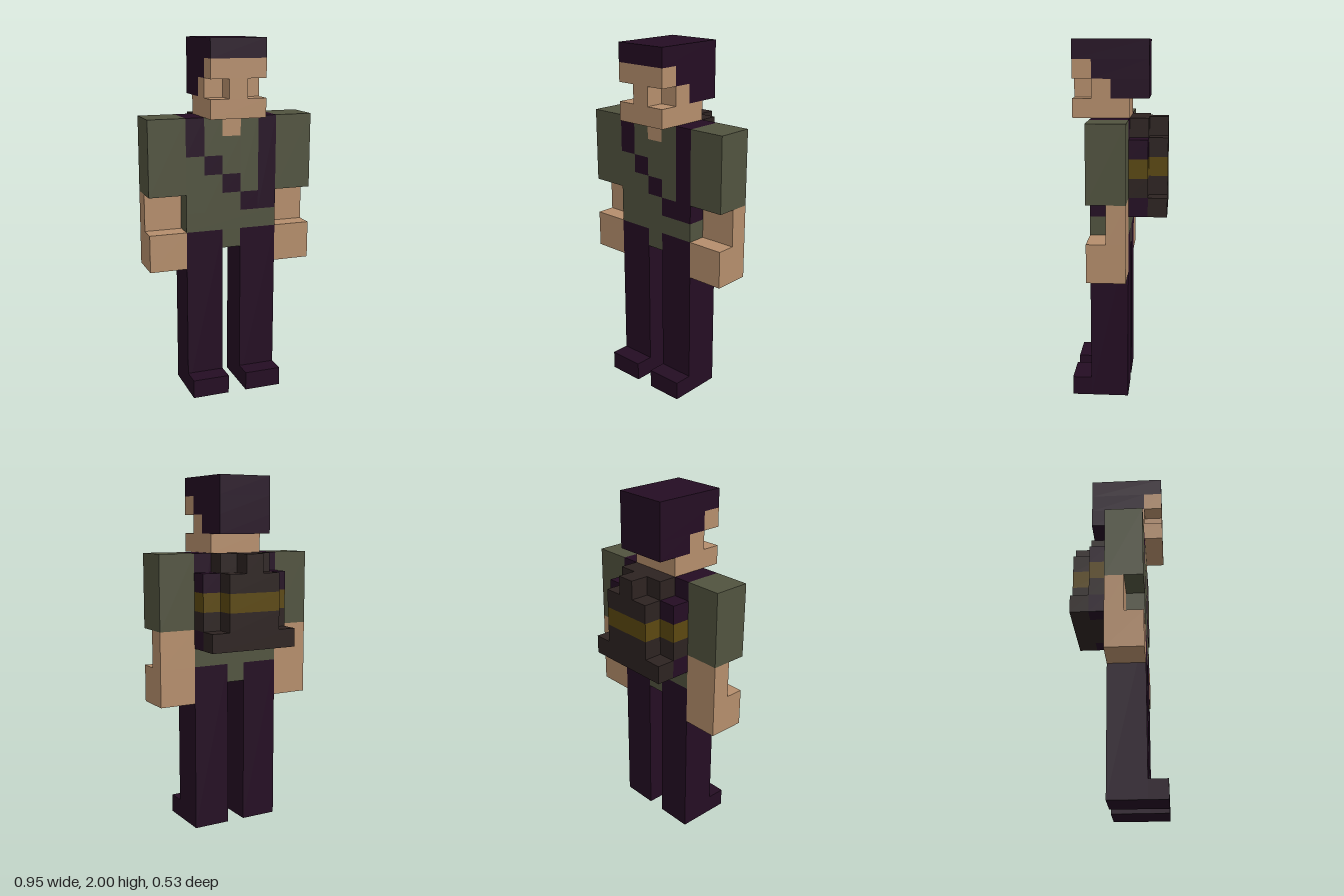
import * as THREE from 'three';

const U = 2 / 19; // one block

const mat = (name, color) => {
  const m = new THREE.MeshStandardMaterial({ color });
  m.name = name;
  return m;
};

export function createModel() {
  const plum = mat('darkPlum', 0x240d23);
  const skin = mat('skin', 0xb58e6c);
  const olive = mat('oliveCloth', 0x51533f);
  const brown = mat('darkLeather', 0x2d2321);
  const ochre = mat('ochreBand', 0x5b4810);

  const model = new THREE.Group();
  model.name = 'figure';
  const part = (name) => {
    const g = new THREE.Group();
    g.name = name;
    model.add(g);
    return g;
  };
  // Box given by its x, y and z limits in blocks
  const box = (group, name, material, [x0, x1], [y0, y1], [z0, z1]) => {
    const geo = new THREE.BoxGeometry((x1 - x0) * U, (y1 - y0) * U, (z1 - z0) * U);
    const mesh = new THREE.Mesh(geo, material);
    mesh.position.set((x0 + x1) / 2 * U, (y0 + y1) / 2 * U, (z0 + z1) / 2 * U);
    mesh.name = name;
    group.add(mesh);
  };
  const side = (s, a, b) => (s > 0 ? [a, b] : [-b, -a]);
  const full = [-0.5, 1.5], front = [0.5, 1.5], back = [-0.5, 0.5];

  // Limbs, mirrored
  for (const s of [1, -1]) {
    const label = s > 0 ? 'left' : 'right';
    const leg = part(label + 'Leg');
    box(leg, 'trouserLeg', plum, side(s, 0.5, 2.5), [0, 9], full);
    box(leg, 'toe', plum, side(s, 0.5, 2.5), [0, 1], [1.5, 2.5]);
    const arm = part(label + 'Arm');
    box(arm, 'sleeve', olive, side(s, 2.5, 4.5), [11, 15], full);
    box(arm, 'forearm', skin, side(s, 2.5, 4.5), [9, 11], back);
    box(arm, 'hand', skin, side(s, 2.5, 4.5), [7, 9], full);
  }

  // Torso: back layer, then front layer column by column
  const torso = part('torso');
  box(torso, 'crotch', olive, [-0.5, 0.5], [8, 9], full);
  box(torso, 'shirtHem', olive, [-2.5, 2.5], [9, 10], full);
  box(torso, 'shirtBack', olive, [-2.5, 1.5], [10, 14], back);
  box(torso, 'shirtBackTop', olive, [-1.5, 1.5], [14, 15], back);
  box(torso, 'rightShoulderStrap', plum, [-2.5, -1.5], [14, 15], back);
  box(torso, 'leftStrapBack', plum, [1.5, 2.5], [10, 15], back);
  box(torso, 'leftStrap', plum, [1.5, 2.5], [10, 15], front);
  // each column: left edge, then strap bottom and top
  const columns = [[-2.5, 13, 15], [-1.5, 12, 13], [-0.5, 11, 12], [0.5, 10, 11]];
  for (const [x, low, high] of columns) {
    const xs = [x, x + 1];
    const neck = x === -0.5;
    const top = neck ? 14 : 15;
    box(torso, 'diagonalStrap', plum, xs, [low, high], front);
    if (low > 10) box(torso, 'shirtLower', olive, xs, [10, low], front);
    if (high < top) box(torso, 'shirtUpper', olive, xs, [high, top], front);
    if (neck) box(torso, 'openCollar', skin, xs, [14, 15], front);
  }

  // Head with recessed eyes
  const head = part('head');
  const w = [-1.5, 1.5];
  box(head, 'jaw', skin, w, [15, 16], [-0.5, 2.5]);
  box(head, 'cheeks', skin, w, [16, 17], [0.5, 1.5]);
  box(head, 'nose', skin, [-0.5, 0.5], [16, 17], [1.5, 2.5]);
  box(head, 'brow', skin, w, [17, 18], [1.5, 2.5]);
  box(head, 'hairTop', plum, w, [18, 19], [-1.5, 2.5]);
  box(head, 'hairMiddle', plum, w, [17, 18], [-1.5, 1.5]);
  box(head, 'hairBack', plum, w, [16, 17], [-1.5, 0.5]);

  // Backpack
  const pack = part('backpack');
  const deep = [-2.5, -0.5], near = [-1.5, -0.5], far = [-2.5, -1.5];
  box(pack, 'packBase', brown, w, [10, 11], near);
  box(pack, 'bedroll', brown, [-2.5, 2.5], [10, 11], far);
  box(pack, 'packLower', brown, w, [11, 12], deep);
  box(pack, 'packBand', ochre, w, [12, 13], deep);
  box(pack, 'packUpper', brown, w, [13, 14], deep);
  box(pack, 'packTop', brown, w, [14, 15], near);
  box(pack, 'packFlap', brown, [-0.5, 0.5], [14, 15], far);
  for (const s of [1, -1]) {
    const xs = side(s, 1.5, 2.5);
    box(pack, 'lowerStrap', plum, xs, [10, 11], near);
    box(pack, 'sidePocket', brown, xs, [11, 12], near);
    box(pack, 'sideBand', ochre, xs, [12, 13], near);
    box(pack, 'upperStrap', plum, xs, [13, 14], near);
  }

  return model;
}
